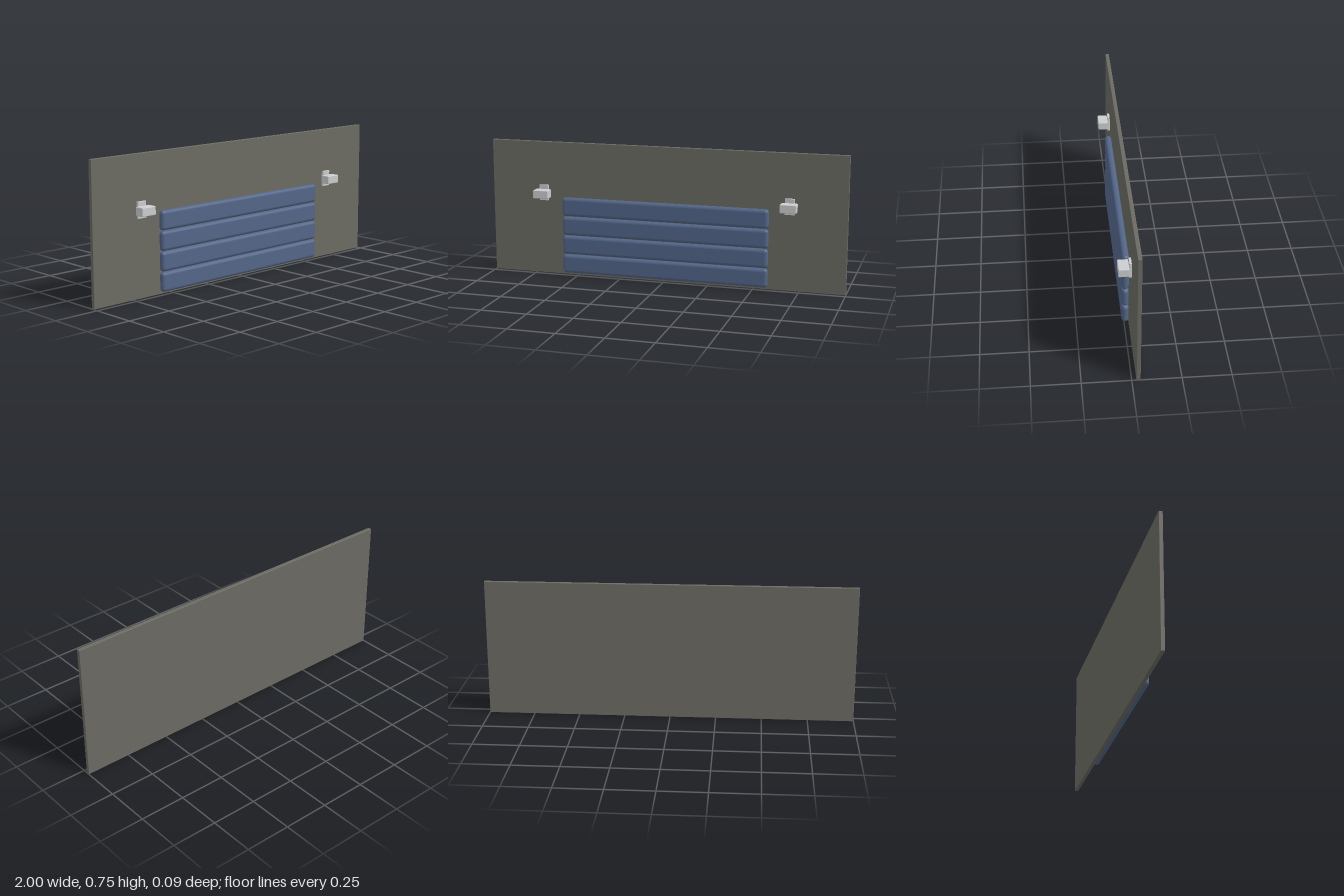
import * as THREE from 'three';
import { RoundedBoxGeometry } from 'three/addons/geometries/RoundedBoxGeometry.js';

export function createModel() {
  const model = new THREE.Group();
  model.name = 'paddedWallPanel';
  const material = (name, color) => {
    const m = new THREE.MeshStandardMaterial({ color });
    m.name = name;
    return m;
  };
  const panelGrey = material('panelGrey', 0x6b6a62);
  const padBlue = material('padBlue', 0x526588);
  const lampSilver = material('lampSilver', 0xcbcccd);

  // Rounded box given by its centre and size
  const block = (parent, name, mat, [w, h, d], [x, y, z], radius, segments = 3) => {
    const mesh = new THREE.Mesh(new RoundedBoxGeometry(w, h, d, segments, radius), mat);
    mesh.name = name;
    mesh.position.set(x, y, z);
    parent.add(mesh);
  };

  // Tall backing board
  block(model, 'backPanel', panelGrey, [2, 0.75, 0.021], [0, 0.375, -0.0335], 0.002, 2);

  // Four stacked cushions with fully rounded edges
  for (let i = 0; i < 4; i++) {
    block(model, `cushion${i + 1}`, padBlue, [1.164, 0.105, 0.037],
      [0, 0.068 + i * 0.1082, -0.0045], 0.0182, 6);
  }

  // Wall lamp on each side: mounting plate and projecting head
  for (const [name, x] of [['rightLamp', -0.695], ['leftLamp', 0.691]]) {
    const lamp = new THREE.Group();
    lamp.name = name;
    lamp.position.x = x;
    block(lamp, 'mountPlate', lampSilver, [0.052, 0.087, 0.013], [0, 0.4635, -0.0165], 0.001, 2);
    block(lamp, 'lampHead', lampSilver, [0.088, 0.046, 0.055], [0, 0.462, 0.0175], 0.004);
    model.add(lamp);
  }
  return model;
}
